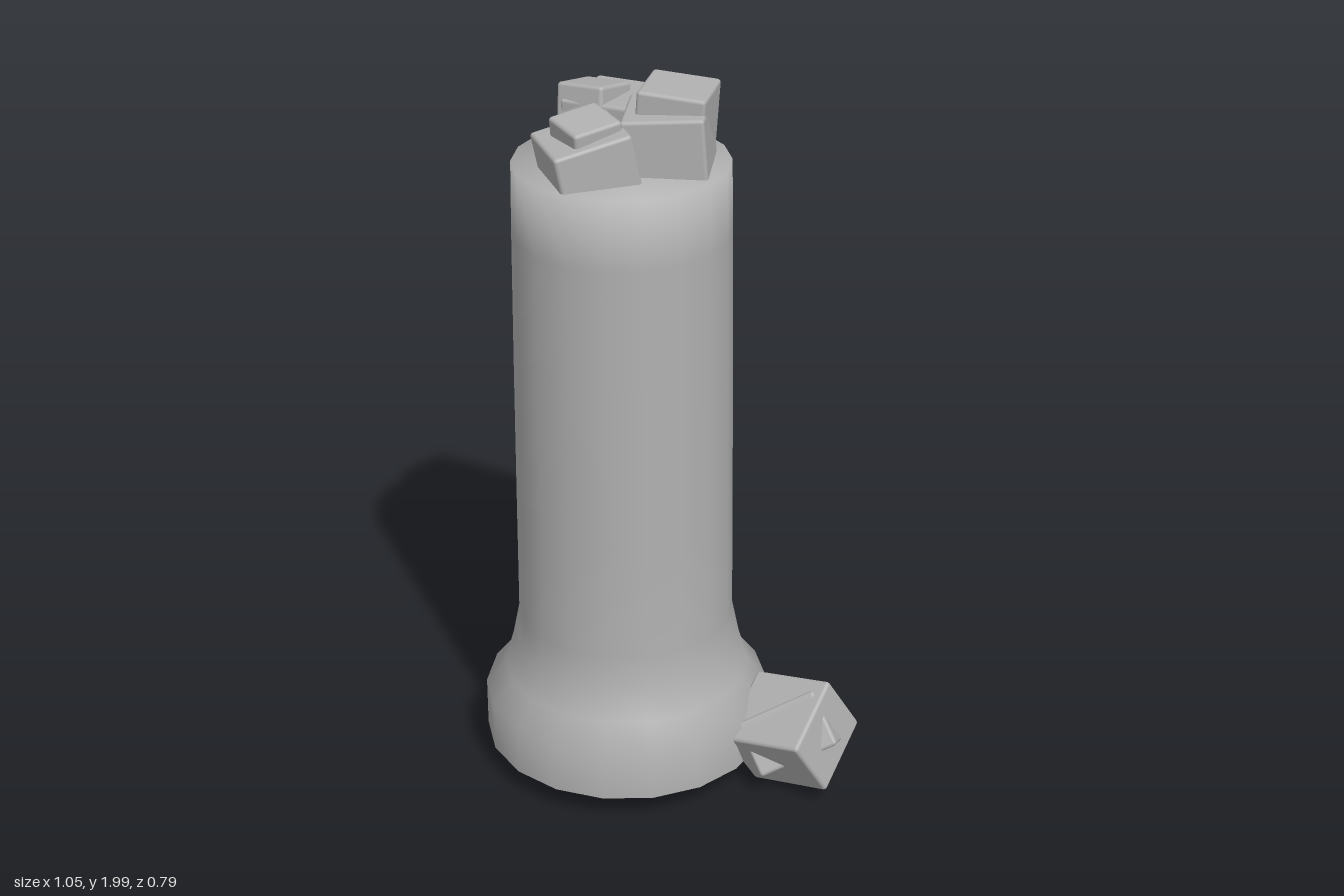
import * as THREE from 'three';
import { RoundedBoxGeometry } from 'three/addons/geometries/RoundedBoxGeometry.js';

const stone = new THREE.MeshStandardMaterial({ color: 0xb0b0b0, side: THREE.DoubleSide });
stone.name = 'grey stone';

function block(name, size, position, rotation = [0, 0, 0]) {
  const mesh = new THREE.Mesh(new RoundedBoxGeometry(...size, 2, 0.01), stone);
  mesh.name = name;
  mesh.position.set(...position);
  mesh.rotation.set(...rotation);
  return mesh;
}

export function createModel() {
  const model = new THREE.Group();
  model.name = 'brokenColumn';

  // Hollow shaft with a flared foot and a closed top
  const profile = [
    [0.395, 0.08], [0.395, 0.22], [0.34, 0.29], [0.315, 0.38], [0.297, 0.47],
    [0.295, 0.8], [0.292, 1.2], [0.288, 1.6], [0.285, 1.79], [0, 1.79],
  ].map(([r, y]) => new THREE.Vector2(r, y));
  const column = new THREE.Mesh(new THREE.LatheGeometry(profile, 18), stone);
  column.name = 'column';
  column.position.x = -0.14;
  model.add(column);

  // Loose blocks heaped on the top: edge length, position, rotation
  const topRubble = new THREE.Group();
  topRubble.name = 'topRubble';
  [
    [0.21, [-0.176, 1.82, -0.13], [0, -0.33, 0.03]],
    [0.14, [-0.23, 1.885, -0.107], [-0.2, -0.42, 0]],
    [0.21, [-0.205, 1.8, 0.115], [0, 0.49, 0.2]],
    [0.138, [-0.208, 1.875, 0.115], [0.1, 0.7, 0.05]],
    [0.215, [-0.015, 1.835, 0.005], [0, 0.03, 0.07]],
    [0.18, [0, 1.903, -0.022], [0, -0.09, -0.07]],
  ].forEach(([s, p, r], i) => topRubble.add(block(`topBlock${i + 1}`, [s, s, s], p, r)));
  model.add(topRubble);

  // Tumbled block at the foot, with a second block breaking through its faces
  const fallen = new THREE.Group();
  fallen.name = 'fallenRubble';
  const xAxis = new THREE.Vector3(0.07, 0.112, -0.19).normalize();
  const yAxis = new THREE.Vector3(-0.078, 0.17, 0.069);
  yAxis.addScaledVector(xAxis, -yAxis.dot(xAxis)).normalize();
  const zAxis = new THREE.Vector3().crossVectors(xAxis, yAxis);
  fallen.quaternion.setFromRotationMatrix(new THREE.Matrix4().makeBasis(xAxis, yAxis, zAxis));
  fallen.position.set(0.345, 0.17, 0.12);
  fallen.add(block('fallenBlock', [0.23, 0.205, 0.245], [0, 0, 0]));

  // Align the inner block with the diagonal of the large block's upper face
  const along = new THREE.Vector3(0.26, 0.14, -0.04).normalize();
  const angle = Math.atan2(-along.dot(zAxis), along.dot(xAxis));
  const inner = block('innerBlock', [0.235, 0.162, 0.162], [0, 0, 0]);
  inner.rotation.set(Math.PI / 4, angle, 0, 'YXZ');
  fallen.add(inner);
  model.add(fallen);

  return model;
}
